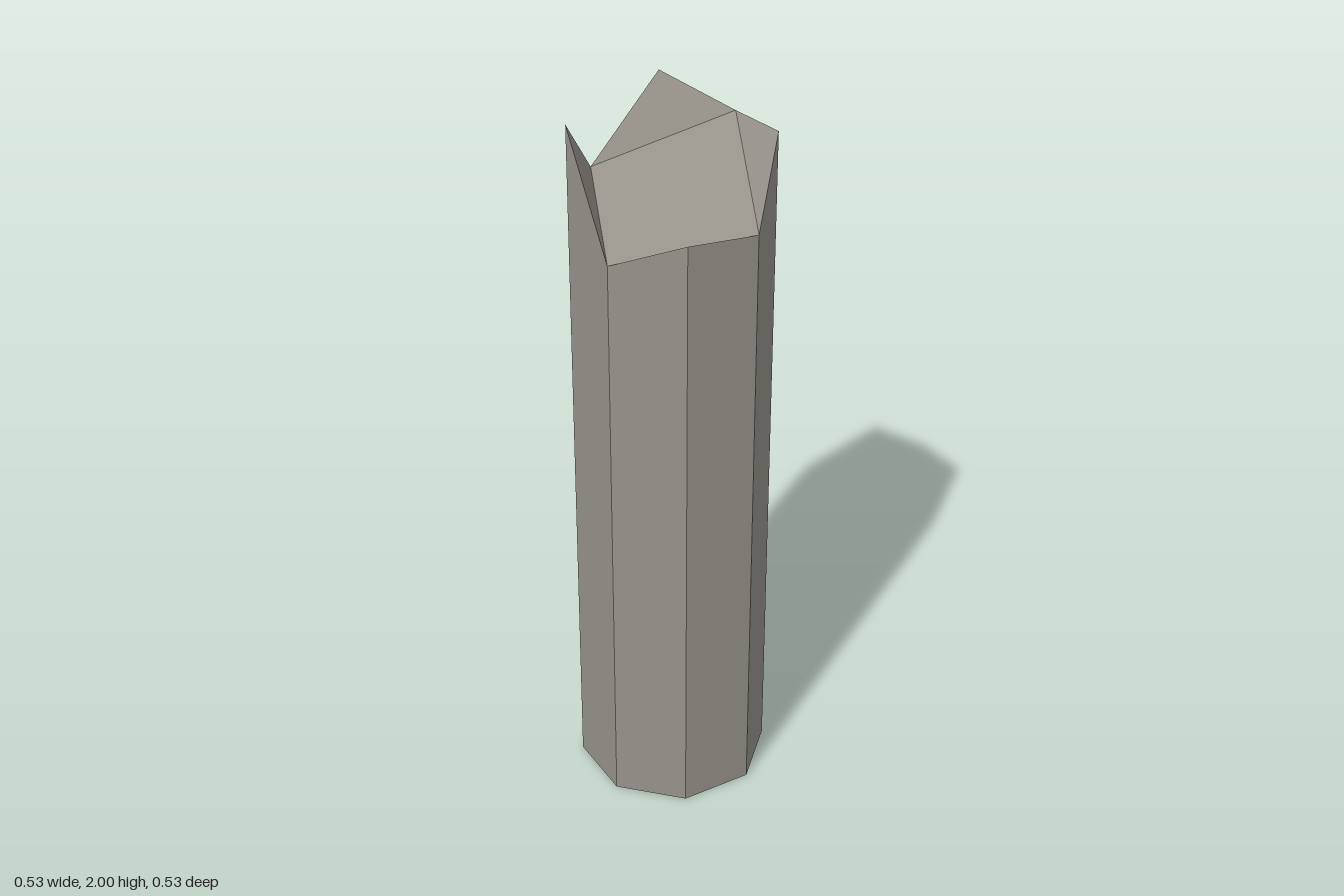
import * as THREE from 'three';

const SIDES = 8;
const RADIUS = 0.267;
// Rim heights of the broken end, from the front (+z) round towards +x
const RIM = [1.74, 1.93, 1.91, 2.0, 1.775, 1.98, 1.68, 1.76];

const corner = (i, y) => {
  const a = (i % SIDES) * Math.PI * 2 / SIDES;
  return new THREE.Vector3(RADIUS * Math.sin(a), y, RADIUS * Math.cos(a));
};
const rim = (i) => corner(i, RIM[i % SIDES]);
const foot = (i) => corner(i, 0);

// Unshared triangles give every face its own flat normal
function facetMesh(name, points, material) {
  const geometry = new THREE.BufferGeometry().setFromPoints(points);
  geometry.computeVertexNormals();
  const mesh = new THREE.Mesh(geometry, material);
  mesh.name = name;
  return mesh;
}

export function createModel() {
  const model = new THREE.Group();
  model.name = 'brokenColumn';
  const stone = new THREE.MeshStandardMaterial({ color: 0x96928a, flatShading: true });
  stone.name = 'warm grey stone';

  // Shaft walls and underside
  const walls = [];
  const underside = [];
  for (let i = 0; i < SIDES; i++) {
    walls.push(foot(i), foot(i + 1), rim(i + 1), foot(i), rim(i + 1), rim(i));
    underside.push(new THREE.Vector3(), foot(i + 1), foot(i));
  }

  // Jagged top: four raised shards round two sloping centre faces
  const top = [];
  for (let i = 0; i < SIDES; i += 2) top.push(rim(i), rim(i + 1), rim(i + 2));
  top.push(rim(2), rim(4), rim(6), rim(6), rim(0), rim(2));

  model.add(
    facetMesh('shaft', walls, stone),
    facetMesh('underside', underside, stone),
    facetMesh('brokenTop', top, stone),
  );
  return model;
}
